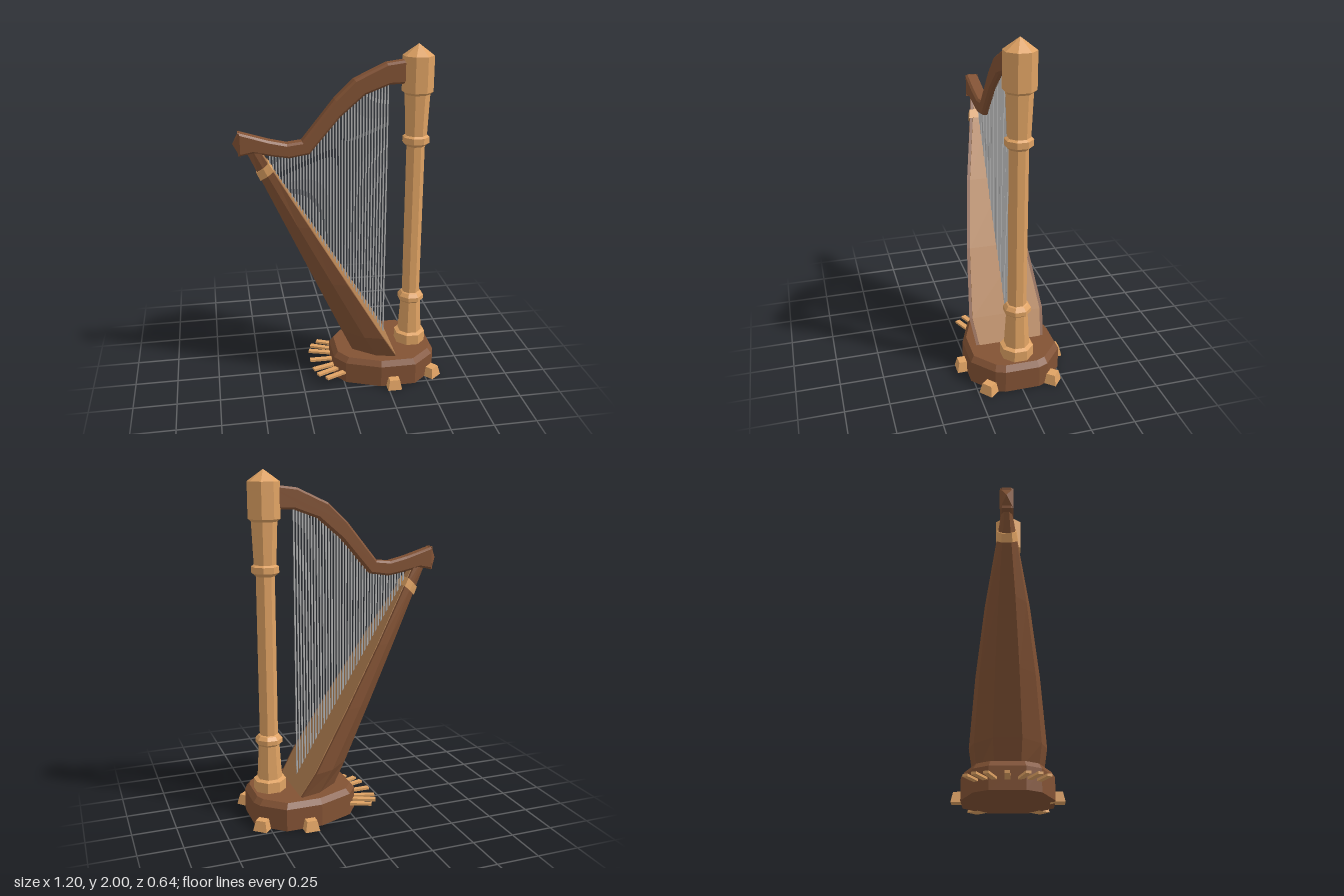
import * as THREE from 'three';

const mat = (name, color) => Object.assign(new THREE.MeshStandardMaterial({ color }), { name });

// flat facets
const flat = (g) => {
  const f = g.index ? g.toNonIndexed() : g;
  f.computeVertexNormals();
  return f;
};

// solid through rings of [x, y, z], each counter-clockwise seen from above
function loft(rings) {
  const n = rings[0].length, pos = [];
  const tri = (...p) => p.forEach((q) => pos.push(...q));
  for (let r = 0; r < rings.length - 1; r++) {
    const a = rings[r], b = rings[r + 1];
    for (let i = 0; i < n; i++) {
      const j = (i + 1) % n;
      tri(a[i], a[j], b[j]);
      tri(a[i], b[j], b[i]);
    }
  }
  const lo = rings[0], hi = rings[rings.length - 1];
  for (let i = 1; i < n - 1; i++) {
    tri(lo[0], lo[i + 1], lo[i]);
    tri(hi[0], hi[i], hi[i + 1]);
  }
  const g = new THREE.BufferGeometry();
  g.setAttribute('position', new THREE.Float32BufferAttribute(pos, 3));
  return flat(g);
}

// ring from its half [x, y, z >= 0], listed from +x to -x
const mirrorRing = (half) => [
  ...half.map(([x, y, z]) => [x, y, -z]),
  ...half.slice().reverse(),
];

// linear interpolation in a list of [key, value]
function lerpTable(table, k) {
  let i = 0;
  while (i < table.length - 2 && k > table[i + 1][0]) i++;
  const [a, va] = table[i], [b, vb] = table[i + 1];
  return va + ((vb - va) * (k - a)) / (b - a);
}

export function createModel() {
  const gold = mat('goldenWood', 0xdfa263);
  const brown = mat('brownWood', 0x825234);
  const board = mat('soundboardWood', 0xb07e50);
  const steel = mat('stringGrey', 0xb4b4b4);

  const model = new THREE.Group();
  const add = (name, geo, material, parent = model) => {
    const m = new THREE.Mesh(geo, material);
    m.name = name;
    parent.add(m);
    return m;
  };
  const group = (name) => {
    const g = new THREE.Group();
    g.name = name;
    model.add(g);
    return g;
  };

  // base with a chamfered top
  const outline = [[0.57, 0.1], [0.547, 0.155], [0.42, 0.265], [0.21, 0.265], [0.01, 0.185], [-0.05, 0.1]];
  const baseRing = (y, s) => mirrorRing(outline.map(([x, z]) => [0.26 + (x - 0.26) * s, y, z * s]));
  add('base', loft([baseRing(0, 1), baseRing(0.13, 1), baseRing(0.162, 0.92)]), brown);

  // tapered feet, mirrored in z
  const feet = group('feet');
  const footGeo = flat(new THREE.CylinderGeometry(0.042, 0.06, 0.06, 4).rotateY(Math.PI / 4));
  for (const s of [1, -1]) {
    for (const [x, z, turn] of [[0.285, 0.28, 0], [0.54, 0.185, 0.7]]) {
      const foot = add('foot', footGeo, gold, feet);
      foot.position.set(x, 0.03, z * s);
      foot.rotation.y = turn * s;
    }
  }

  // seven pedals fanned around the back of the base
  const pedals = group('pedals');
  const pedalGeo = new THREE.BoxGeometry(0.24, 0.014, 0.03).translate(0.12, 0, 0);
  const fan = [[-0.115, 0.222, 0.42], [-0.16, 0.174, 0.42], [-0.178, 0.11, 0.3]];
  const mirrored = fan.map(([x, z, turn]) => [x, -z, -turn]);
  for (const [x, z, turn] of [...fan, [-0.185, 0, 0], ...mirrored]) {
    const pedal = add('pedal', pedalGeo, gold, pedals);
    pedal.position.set(x, 0.063, z);
    pedal.rotation.y = turn;
  }

  // octagonal column with rings, head and pointed cap (radii are to the flats)
  const profile = [
    [0, 0.155], [0.088, 0.155], [0.088, 0.225], [0.067, 0.235], [0.056, 0.435], [0.073, 0.45], [0.073, 0.475],
    [0.058, 0.495], [0.049, 0.5], [0.049, 1.42], [0.072, 1.44], [0.072, 1.475], [0.058, 1.485], [0.067, 1.72],
    [0.083, 1.735], [0.083, 1.935], [0, 2],
  ].map(([r, y]) => new THREE.Vector2(r / Math.cos(Math.PI / 8), y));
  const column = add('column', flat(new THREE.LatheGeometry(profile, 8, Math.PI / 8)), gold);
  column.position.x = 0.443;

  // sound box: leaning, faceted and tapering
  const widths = [[0.15, 0.203], [0.3, 0.225], [0.65, 0.184], [1.0, 0.127], [1.3, 0.062], [1.45, 0.03]];
  const frontX = (y) => 0.31 - (y - 0.165) * 0.6;
  const backX = (y) => 0.065 - (y - 0.165) * 0.466;
  const section = (y, grow = 0, tilt = 0) => mirrorRing(
    [[0, 1, 1], [0.48, 0.85, 0], [1, 0.36, -1]].map(([k, spread, out]) => {
      const h = y + tilt * (1 - k);
      const x = frontX(h) * (1 - k) + backX(h) * k;
      return [x + grow * out, h, lerpTable(widths, h) * spread + grow];
    }),
  );
  add('soundBox', loft(widths.map(([y]) => section(y))), brown);
  add('soundBoxBand', loft([section(1.265, 0.006, 0.06), section(1.31, 0.006, 0.06)]), gold);

  // soundboard panel inside the rim
  const panel = widths.map(([y, w]) => mirrorRing([
    [frontX(y) + 0.004, y, Math.max(w - 0.018, 0.012)],
    [frontX(y) - 0.004, y, Math.max(w - 0.018, 0.012)],
  ]));
  add('soundboard', loft(panel), board);

  // curved neck with chamfered edges
  const under = [[-0.57, 1.41], [-0.49, 1.425], [-0.38, 1.402], [-0.29, 1.387], [-0.175, 1.405], [0, 1.61], [0.14, 1.73], [0.28, 1.782], [0.42, 1.786]];
  const over = [[0.42, 1.917], [0.36, 1.913], [0.26, 1.9], [0.08, 1.815], [-0.03, 1.71], [-0.215, 1.48], [-0.3, 1.47], [-0.4, 1.493], [-0.57, 1.545]];
  const neckShape = new THREE.Shape([...under, ...over].map(([x, y]) => new THREE.Vector2(x, y)));
  const neckGeo = new THREE.ExtrudeGeometry(neckShape, {
    depth: 0.052, bevelThickness: 0.012, bevelSize: 0.012, bevelOffset: -0.012, bevelSegments: 1,
  }).translate(0, 0, -0.026);
  add('neck', neckGeo, brown);

  // pointed end of the neck
  const tipGeo = new THREE.ConeGeometry(Math.SQRT1_2, 0.04, 4).rotateY(Math.PI / 4).rotateZ(Math.PI / 2);
  const tip = add('neckTip', flat(tipGeo.scale(1, 0.134, 0.076)), brown);
  tip.position.set(-0.58, 1.477, 0);

  // strings from the soundboard up to the neck
  const strings = group('strings');
  const count = 40;
  for (let i = 0; i < count; i++) {
    const x = -0.395 + (0.67 * i) / (count - 1);
    const low = 0.165 + (0.31 - x) / 0.6;
    const high = lerpTable(under, x) + 0.02;
    const string = add('string', new THREE.BoxGeometry(0.007, high - low, 0.009), steel, strings);
    string.position.set(x, (low + high) / 2, 0);
  }

  return model;
}
